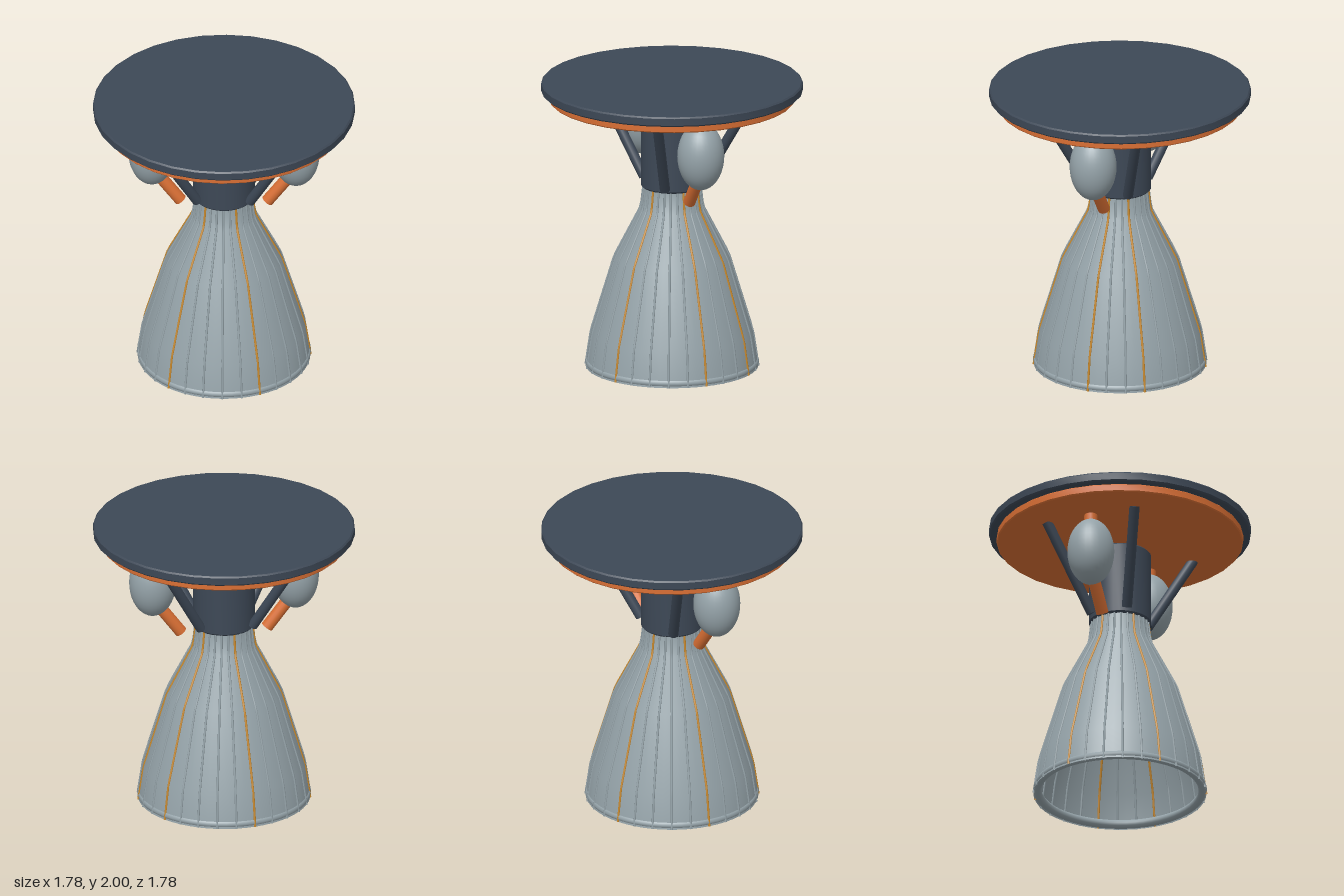
import * as THREE from 'three';
import { toCreasedNormals } from 'three/addons/utils/BufferGeometryUtils.js';

const material = (name, color, side = THREE.FrontSide) => {
  const m = new THREE.MeshStandardMaterial({ color, side });
  m.name = name;
  return m;
};

export function createModel() {
  const group = new THREE.Group();
  const navy = material('dark navy', 0x3d4856);
  const orange = material('burnt orange', 0xd96f34);
  const grey = material('steel grey', 0x95a3a9, THREE.DoubleSide);
  const gold = material('gold', 0xc8892c);

  const add = (name, geometry, mat) => {
    const mesh = new THREE.Mesh(geometry, mat);
    mesh.name = name;
    group.add(mesh);
    return mesh;
  };

  // Solid disc with a small bevel on both rims
  const disc = (name, r, y0, y1, b, mat) => {
    const pts = [[0, y0], [r - b, y0], [r, y0 + b], [r, y1 - b], [r - b, y1], [0, y1]]
      .map(([x, y]) => new THREE.Vector2(x, y));
    return add(name, toCreasedNormals(new THREE.LatheGeometry(pts, 32), 0.6), mat);
  };

  // Round rod between two points
  const rod = (name, a, b, r, mat) => {
    const from = new THREE.Vector3(...a), to = new THREE.Vector3(...b);
    const dir = to.clone().sub(from);
    const mesh = add(name, new THREE.CylinderGeometry(r, r, dir.length(), 16), mat);
    mesh.position.copy(from).add(to).multiplyScalar(0.5);
    mesh.quaternion.setFromUnitVectors(new THREE.Vector3(0, 1, 0), dir.normalize());
    return mesh;
  };

  // Mounting plates and combustion chamber
  disc('topPlate', 0.89, 1.932, 2, 0.01, navy);
  disc('underPlate', 0.838, 1.875, 1.933, 0.008, orange);
  disc('chamber', 0.212, 1.263, 1.785, 0.012, navy);

  // Open nozzle bell with a rounded lip
  const profile = [[0.588, 0], [0.552, 0.24], [0.392, 0.77], [0.212, 1.12], [0.195, 1.27]];
  add('nozzleBell', new THREE.LatheGeometry(
    profile.map(([r, y]) => new THREE.Vector2(r, y)), 56), grey);
  const lip = add('nozzleLip', new THREE.TorusGeometry(0.561, 0.03, 10, 56), grey);
  lip.rotation.x = Math.PI / 2;
  lip.position.y = 0.028;

  // Cooling ribs down the bell, every fifth one gold
  const ribPath = new THREE.CurvePath();
  for (let i = 0; i < profile.length - 1; i++) {
    ribPath.add(new THREE.LineCurve3(
      new THREE.Vector3(profile[i][0], profile[i][1], 0),
      new THREE.Vector3(profile[i + 1][0], profile[i + 1][1], 0)));
  }
  const ribGeometry = new THREE.TubeGeometry(ribPath, 24, 0.008, 6);
  for (let k = 0; k < 28; k++) {
    const isGold = k % 5 === 0;
    const rib = add(isGold ? 'goldRib' : 'greyRib', ribGeometry, isGold ? gold : grey);
    rib.rotation.y = -k * Math.PI * 2 / 28;
  }

  for (const s of [1, -1]) {
    // Side pump pods with feed stub and outlet pipe
    const pod = add('pumpPod', new THREE.SphereGeometry(1, 32, 20), grey);
    pod.scale.set(0.16, 0.237, 0.16);
    pod.position.set(s * 0.49, 1.602, 0);
    rod('feedStub', [s * 0.49, 1.75, 0], [s * 0.49, 1.88, 0], 0.045, orange);
    rod('outletPipe', [s * 0.295, 1.225, 0], [s * 0.475, 1.465, 0], 0.042, orange);

    // Thrust struts
    for (const t of [1, -1]) {
      rod('strut', [s * 0.178, 1.298, t * 0.13], [s * 0.49, 1.885, t * 0.325], 0.035, navy);
    }
  }
  return group;
}
